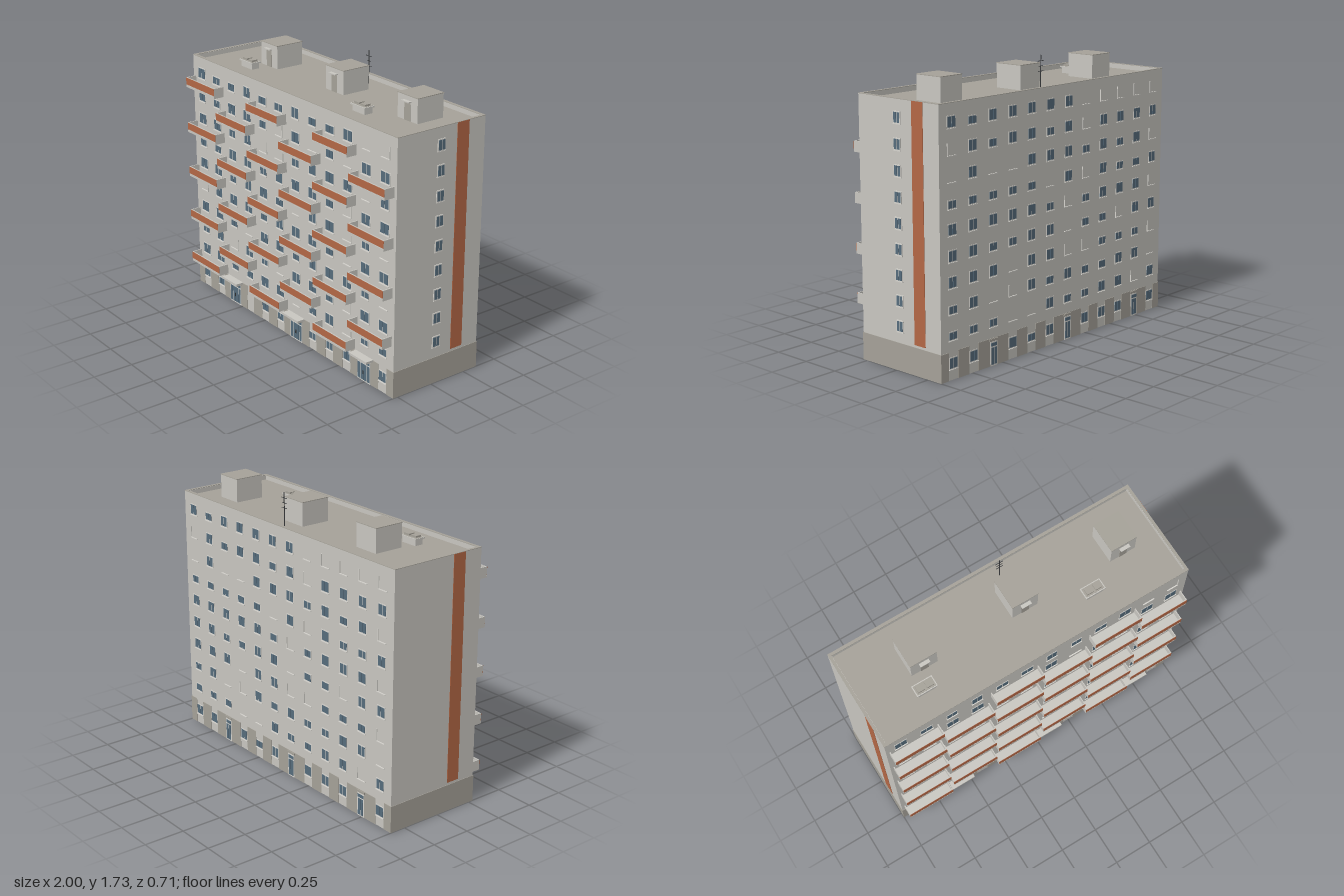
import * as THREE from 'three';
import { mergeGeometries } from 'three/addons/utils/BufferGeometryUtils.js';

const FRONT = 0.28, BACK = -0.35, MID = (FRONT + BACK) / 2, TOP = 1.56, ROOF = 1.53;
const STEP = 0.149, BASE = 0.165;
const colX = (c) => -0.902 + c * 0.164;

// Front windows, floor 1 first: F full, H short, S sill only, L sill and one jamb
const FRONT_ROWS = [
  'FFHHFFSHFLHH', 'FFLFFSFFFLFF', 'FFFSFFFFFFFS', 'LFFFFFFFFSFF', 'FFHFFHSFFLFS',
  'FHFFFFFFFLFF', 'FFFFLLFFFFSF', 'FHFFHLFSFSFF', 'FHHFHHFHHFSL',
];

export function createModel() {
  const group = new THREE.Group();
  const mat = (name, color) => new THREE.MeshStandardMaterial({ name, color });
  const wall = mat('light concrete', 0xc8c6c0);
  const grey = mat('grey concrete', 0xa5a198);
  const orange = mat('terracotta paint', 0xb36745);
  const glass = mat('blue grey glass', 0x566c7c);
  const frame = mat('window frame', 0xd6d4ce);
  const dark = mat('dark metal', 0x3a3c3e);

  // Boxes are collected by part name and merged at the end
  const parts = new Map();
  const box = (name, material, x, y, z, w, h, d) => {
    if (!parts.has(name)) parts.set(name, { material, list: [] });
    parts.get(name).list.push(new THREE.BoxGeometry(w, h, d).translate(x, y, z));
  };
  // Plate on the front (s = 1) or back (s = -1) wall, from inside depth to outside depth
  const plate = (name, material, s, x, y0, w, h, inside, outside) => {
    const z = (s > 0 ? FRONT : BACK) + s * (outside - inside) / 2;
    box(name, material, x, y0 + h / 2, z, w, h, inside + outside);
  };
  let seed = 7;
  const random = () => (seed = (seed * 16807) % 2147483647) / 2147483647;

  // Hollow shell, open underneath
  const T = 0.004;
  for (const s of [1, -1]) {
    plate('longWalls', wall, s, 0, 0, 1.994, TOP, T, 0);
    box('endWalls', wall, s * (0.997 - T / 2), TOP / 2, MID, T, TOP, 0.63);
    box('plinthEnds', grey, s * 0.9985, BASE / 2, MID, 0.003, BASE, 0.63);
    // Parapet and painted vertical band on each end
    plate('parapet', wall, s, 0, ROOF, 1.99, TOP - ROOF - 0.001, 0.016, 0);
    box('parapet', wall, s * 0.987, (ROOF + TOP) / 2, MID, 0.016, TOP - ROOF - 0.001, 0.62);
    plate('coping', grey, s, 0, TOP - 0.001, 1.996, 0.003, 0.018, 0.001);
    box('coping', grey, s * 0.989, TOP + 0.0005, MID, 0.018, 0.003, 0.63);
    box('endBand', orange, s * 0.9975, 0.87, MID - s * 0.152, 0.004, 1.38, 0.086);
  }
  box('roofDeck', grey, 0, ROOF - 0.002, MID, 1.98, 0.004, 0.62);

  // Two-pane window, with the inner side always complete
  const windowUnit = (s, x, y0, w, h, code) => {
    const shown = code === 'F' || code === 'H';
    const hh = code === 'H' ? h * 0.75 : h;
    plate('windowFrames', frame, s, x, y0, w, hh, 0.006, shown ? 0.002 : -0.002);
    for (const k of [-1, 1]) {
      plate('windowGlass', glass, s, x + k * w * 0.235, y0 + 0.006, w * 0.41, hh - 0.012,
        0.008, shown ? 0.0035 : -0.002);
    }
    plate('windowSills', frame, s, x, y0 - 0.004, w + 0.004, 0.004, 0.002, 0.007);
    if (code === 'L') plate('windowSills', frame, s, x + w / 2, y0, 0.003, h, 0.002, 0.005);
  };

  // Upper floors
  for (let f = 0; f < 9; f++) {
    const y = 0.23 + f * STEP;
    for (let c = 0; c < 12; c++) {
      const onBalcony = (c >> 1) % 2 === f % 2;
      windowUnit(1, colX(c), y, onBalcony ? 0.08 : 0.069, 0.072, FRONT_ROWS[f][c]);
      const r = random();
      windowUnit(-1, colX(c), y, 0.066, 0.07, r < 0.5 ? 'F' : r < 0.75 ? 'H' : r < 0.88 ? 'S' : 'L');
    }
    // Stair windows on the left end
    const cy = 0.265 + f * STEP;
    box('endWindowFrames', frame, 0.996, cy, -0.03, 0.012, 0.07, 0.055);
    for (const k of [-1, 1])
      box('endWindowGlass', glass, 0.996, cy, -0.03 + k * 0.0125, 0.015, 0.058, 0.02);
    box('endWindowFrames', frame, 0.999, cy - 0.037, -0.03, 0.008, 0.004, 0.058);

    // Staggered balconies, each open at the top
    for (let i = 0; i < 3; i++) {
      const x = -0.82 + (i * 2 + (f % 2)) * 0.328, b = 0.172 + f * STEP, w = 0.314;
      box('balconySlabs', wall, x, b + 0.006, 0.315, w, 0.012, 0.07);
      box('balconyFronts', wall, x, b + 0.032, 0.346, w, 0.064, 0.006);
      box('balconyPanels', orange, x, b + 0.04, 0.3495, w, 0.044, 0.003);
      for (const k of [-1, 1])
        box('balconySides', wall, x + k * (w / 2 - 0.003), b + 0.032, 0.313, 0.006, 0.064, 0.066);
    }
  }

  // Ground floor: plinth plates between light window bays, entrances and windows
  for (const s of [1, -1]) {
    const doors = s > 0 ? [2, 6, 10] : [1, 5, 9];
    let start = -1;
    for (let c = 0; c < 12; c++) {
      const x = colX(c);
      if (doors.includes(c)) continue;
      plate('plinth', grey, s, (start + x - 0.037) / 2, 0, x - 0.037 - start, BASE, 0, 0.003);
      start = x + 0.037;
      if (s > 0 && c === 3) continue;
      windowUnit(s, x, 0.064, 0.066, 0.07, [1, 5, 7].includes(c) ? 'H' : 'F');
    }
    plate('plinth', grey, s, (start + 1) / 2, 0, 1 - start, BASE, 0, 0.003);
    for (const c of doors) {
      const x = colX(c), w = s > 0 ? 0.118 : 0.06;
      plate('doorSurrounds', frame, s, x, 0, w, 0.145, 0.006, 0.005);
      plate('doorTransoms', glass, s, x, 0.118, w - 0.012, 0.02, 0.008, 0.007);
      const panes = s > 0 ? [[-0.043, 0.02], [-0.014, 0.026], [0.014, 0.026], [0.043, 0.02]]
        : [[-0.012, 0.02], [0.012, 0.02]];
      for (const [dx, pw] of panes)
        plate('doorPanes', glass, s, x + dx, 0.008, pw, 0.102, 0.008, 0.007);
      if (s > 0) {
        plate('entranceCanopies', wall, s, x, 0.155, 0.16, 0.014, 0, 0.053);
        plate('entranceBeams', grey, s, x, 0.144, 0.13, 0.011, 0, 0.04);
        for (const k of [-1, 1])
          plate('doorHandles', dark, s, x + k * 0.004, 0.045, 0.002, 0.025, 0, 0.01);
      } else {
        plate('rearCanopies', grey, s, x, 0.15, 0.07, 0.012, 0, 0.008);
      }
    }
  }

  // Lift housings with access doors
  for (const c of [2, 6, 10]) {
    const x = colX(c);
    box('liftHousings', wall, x, 1.602, -0.1, 0.168, 0.144, 0.188);
    box('housingRoofs', grey, x, 1.6755, -0.1, 0.172, 0.004, 0.192);
    box('housingDoors', grey, x, 1.583, -0.005, 0.05, 0.106, 0.004);
    box('housingCanopies', wall, x, 1.643, 0.005, 0.062, 0.006, 0.022);
  }

  // Roof vents with paired caps
  for (const x of [-0.634, 0.468]) {
    box('ventBases', wall, x, 1.549, 0.096, 0.11, 0.038, 0.055);
    box('ventRims', wall, x, 1.57, 0.096, 0.13, 0.008, 0.07);
    box('ventTops', grey, x, 1.5745, 0.096, 0.118, 0.002, 0.058);
    for (const k of [-1, 1])
      box('ventCaps', grey, x + k * 0.028, 1.58, 0.096, 0.042, 0.012, 0.04);
  }

  // Aerial
  box('aerial', dark, 0.075, 1.632, -0.268, 0.004, 0.205, 0.004);
  [[1.70, 0.05], [1.67, 0.036], [1.64, 0.046]].forEach(([y, w]) =>
    box('aerial', dark, 0.075, y, -0.268, w, 0.003, 0.003));

  for (const [name, { material, list }] of parts) {
    const mesh = new THREE.Mesh(mergeGeometries(list), material);
    mesh.name = name;
    group.add(mesh);
  }
  return group;
}
